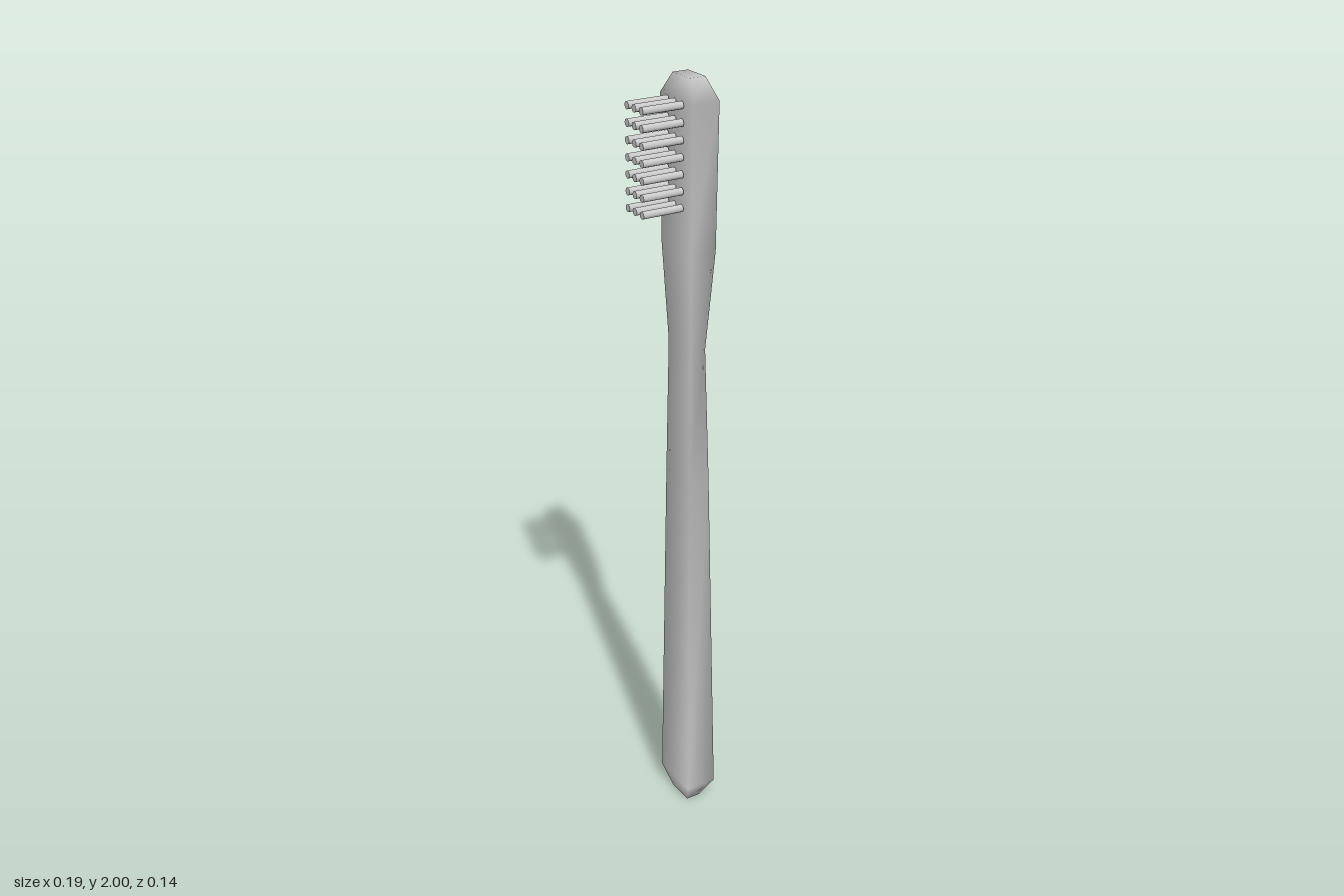
import * as THREE from 'three';

const material = new THREE.MeshStandardMaterial({ color: 0xcccccc });

// Rectangular cross-sections up the handle: [y, xMin, xMax, half depth in z]
const SECTIONS = [
  [0, 0.028, 0.066, 0.038],
  [0.06, 0.012, 0.095, 0.069],
  [1.0, 0.019, 0.075, 0.055],
  [1.35, 0.023, 0.064, 0.05],
  [1.6, 0.013, 0.08, 0.066],
  [1.95, 0.012, 0.083, 0.069],
  [2.0, 0.025, 0.066, 0.036],
];

// Loft four-cornered rings into one closed body with shared, smooth normals
function loft(sections) {
  const positions = [], index = [];
  for (const [y, x0, x1, d] of sections) {
    positions.push(x0, y, d, x1, y, d, x1, y, -d, x0, y, -d);
  }
  for (let s = 0; s < sections.length - 1; s++) {
    for (let i = 0; i < 4; i++) {
      const a = s * 4 + i, b = s * 4 + (i + 1) % 4;
      index.push(a, b, b + 4, a, b + 4, a + 4);
    }
  }
  const t = (sections.length - 1) * 4;
  index.push(0, 2, 1, 0, 3, 2, t, t + 1, t + 2, t, t + 2, t + 3);
  const geometry = new THREE.BufferGeometry();
  geometry.setAttribute('position', new THREE.Float32BufferAttribute(positions, 3));
  geometry.setIndex(index);
  geometry.computeVertexNormals();
  return geometry;
}

export function createModel() {
  const group = new THREE.Group();
  group.name = 'toothbrush';

  // Handle and head in one piece
  const handle = new THREE.Mesh(loft(SECTIONS), material);
  handle.name = 'handle';
  group.add(handle);

  // Three columns of seven bristle tufts pointing to -x
  const bristles = new THREE.Group();
  bristles.name = 'bristles';
  const tuft = new THREE.CylinderGeometry(0.0095, 0.0095, 0.105, 8).rotateZ(Math.PI / 2);
  for (let row = 0; row < 7; row++) {
    for (let column = -1; column <= 1; column++) {
      const bristle = new THREE.Mesh(tuft, material);
      bristle.name = 'bristle';
      bristle.position.set(-0.0445, 1.705 + row * 0.0395, -0.001 + column * 0.0315);
      bristles.add(bristle);
    }
  }
  group.add(bristles);
  return group;
}
